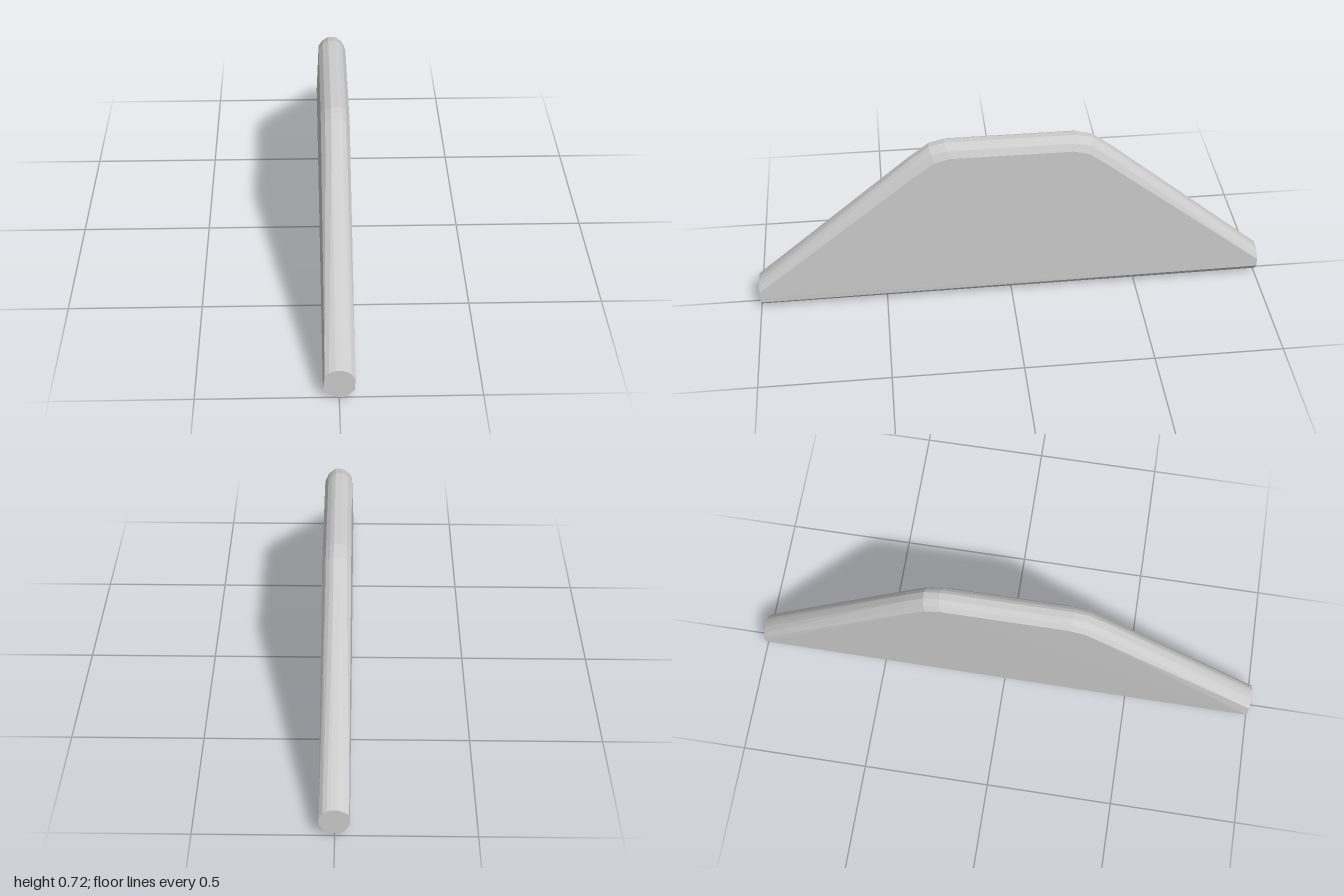
import * as THREE from 'three';
import { ConvexGeometry } from 'three/addons/geometries/ConvexGeometry.js';

// Rounded upper edge, one line per row: x, drop at the ends, drop along the ridge
const EDGE = [
  [-0.05, 0.022, 0.032], [-0.035, 0.01, 0.013], [-0.013, 0.001, 0],
  [0.013, 0.001, 0], [0.027, 0.005, 0.007], [0.042, 0.016, 0.02], [0.055, 0.036, 0.047],
];

// Side outline of the ridge: z, height
const RIDGE = [[0.25, 0.717], [0.31, 0.702], [0.385, 0.645]];

// Underside corners at the front and back ends: x, y
const FRONT_BASE = [[-0.056, 0.033], [-0.005, 0], [0.02, 0], [0.054, 0.033], [0.055, 0.06]];
const BACK_BASE = [[-0.053, 0.055], [-0.035, 0.022], [-0.01, 0.011], [0.012, 0.011], [0.035, 0.022], [0.055, 0.05]];

export function createModel() {
  const group = new THREE.Group();
  group.name = 'slopedPanel';
  const points = [];

  // Rounded ridge, slopes and end caps, mirrored front to back
  for (const side of [1, -1]) {
    for (const [x, endDrop, topDrop] of EDGE) {
      points.push(new THREE.Vector3(x, 0.12 - endDrop, side));
      for (const [z, y] of RIDGE) {
        points.push(new THREE.Vector3(x, y - topDrop, side * (z - topDrop * 0.37)));
      }
    }
    points.push(new THREE.Vector3(0, 0.12, side));
  }

  // Faceted underside
  for (const [x, y] of FRONT_BASE) points.push(new THREE.Vector3(x, y, 1));
  for (const [x, y] of BACK_BASE) points.push(new THREE.Vector3(x, y, -1));

  const panel = new THREE.Mesh(
    new ConvexGeometry(points),
    new THREE.MeshStandardMaterial({ color: 0xcccccc, flatShading: true }),
  );
  panel.name = 'panel';
  group.add(panel);
  return group;
}
